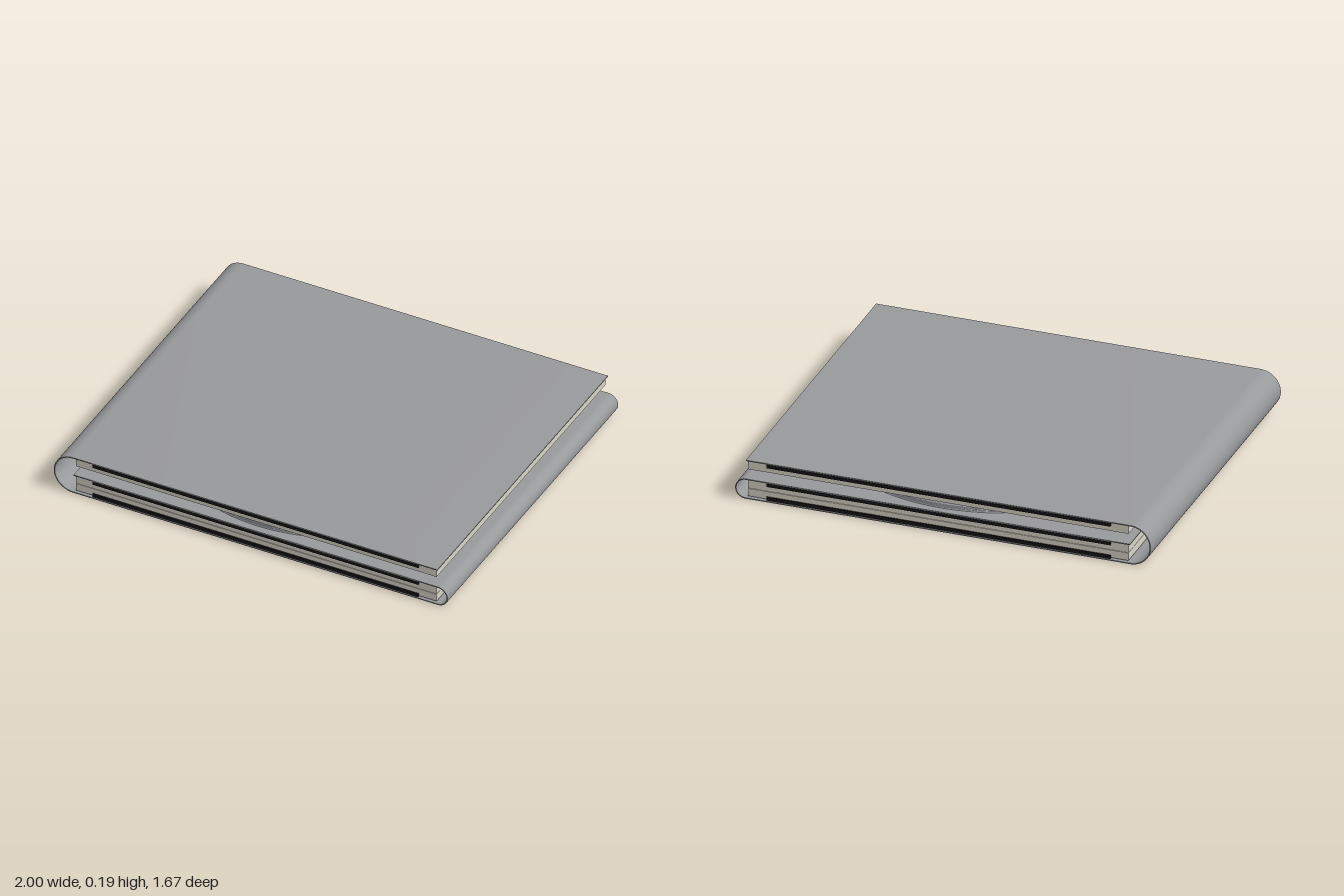
import * as THREE from 'three';
import { toCreasedNormals } from 'three/addons/utils/BufferGeometryUtils.js';

const material = (color) => new THREE.MeshStandardMaterial({ color });

export function createModel() {
  const group = new THREE.Group();
  const wrapMat = material(0x98999b);
  const trayMat = material(0xd8d4c8);
  const padMat = material(0x151515);
  const discMat = material(0xcfd2d8);

  const add = (name, geometry, mat, x = 0, y = 0, z = 0) => {
    const mesh = new THREE.Mesh(geometry, mat);
    mesh.name = name;
    mesh.position.set(x, y, z);
    group.add(mesh);
  };
  const slab = (name, mat, x0, x1, y0, y1, halfDepth) =>
    add(name, new THREE.BoxGeometry(x1 - x0, y1 - y0, halfDepth * 2), mat,
      (x0 + x1) / 2, (y0 + y1) / 2, 0);

  // Folded wrap: cover, large bend, base, small bend and inner flap
  const t = 0.005, H = 0.195, R = H / 2, r = 0.05, half = 0.833;
  const leftX = -1 + R, rightX = 1 - r;
  const s = new THREE.Shape();
  s.moveTo(0.948, H);
  s.lineTo(leftX, H);
  s.absarc(leftX, R, R, Math.PI / 2, Math.PI * 1.5, false);
  s.lineTo(rightX, 0);
  s.absarc(rightX, r, r, -Math.PI / 2, Math.PI / 2, false);
  s.lineTo(-0.9, 2 * r);
  s.lineTo(-0.9, 2 * r - t);
  s.lineTo(rightX, 2 * r - t);
  s.absarc(rightX, r, r - t, Math.PI / 2, -Math.PI / 2, true);
  s.lineTo(leftX, t);
  s.absarc(leftX, R, R - t, Math.PI * 1.5, Math.PI / 2, true);
  s.lineTo(0.948, H - t);
  s.closePath();
  const wrap = new THREE.ExtrudeGeometry(s, { depth: half * 2, bevelEnabled: false, curveSegments: 24 });
  wrap.translate(0, 0, -half);
  add('foldedWrap', toCreasedNormals(wrap, 0.5), wrapMat);

  // Trays, each with a dark pad on the side against the wrap
  const trays = [
    { name: 'lowerTray', y0: 0.012, y1: 0.05, pad: [0.008, 0.025] },
    { name: 'middleTray', y0: 0.052, y1: 0.092, pad: [0.077, 0.094] },
    { name: 'upperTray', y0: 0.147, y1: 0.186, pad: [0.171, 0.188] },
  ];
  for (const { name, y0, y1, pad } of trays) {
    slab(name, trayMat, -0.89, 0.94, y0, y1, 0.825);
    slab(name + 'Pad', padMat, -0.805, 0.85, pad[0], pad[1], 0.832);
  }

  // Stacked discs between the flap and the upper tray
  for (const [y0, y1] of [[0.103, 0.111], [0.113, 0.12], [0.122, 0.147]])
    add('disc', new THREE.CylinderGeometry(0.8, 0.8, y1 - y0, 96), discMat, 0.02, (y0 + y1) / 2, 0);
  add('discCore', new THREE.CylinderGeometry(0.79, 0.79, 0.044, 96), discMat, 0.02, 0.124, 0);

  return group;
}
